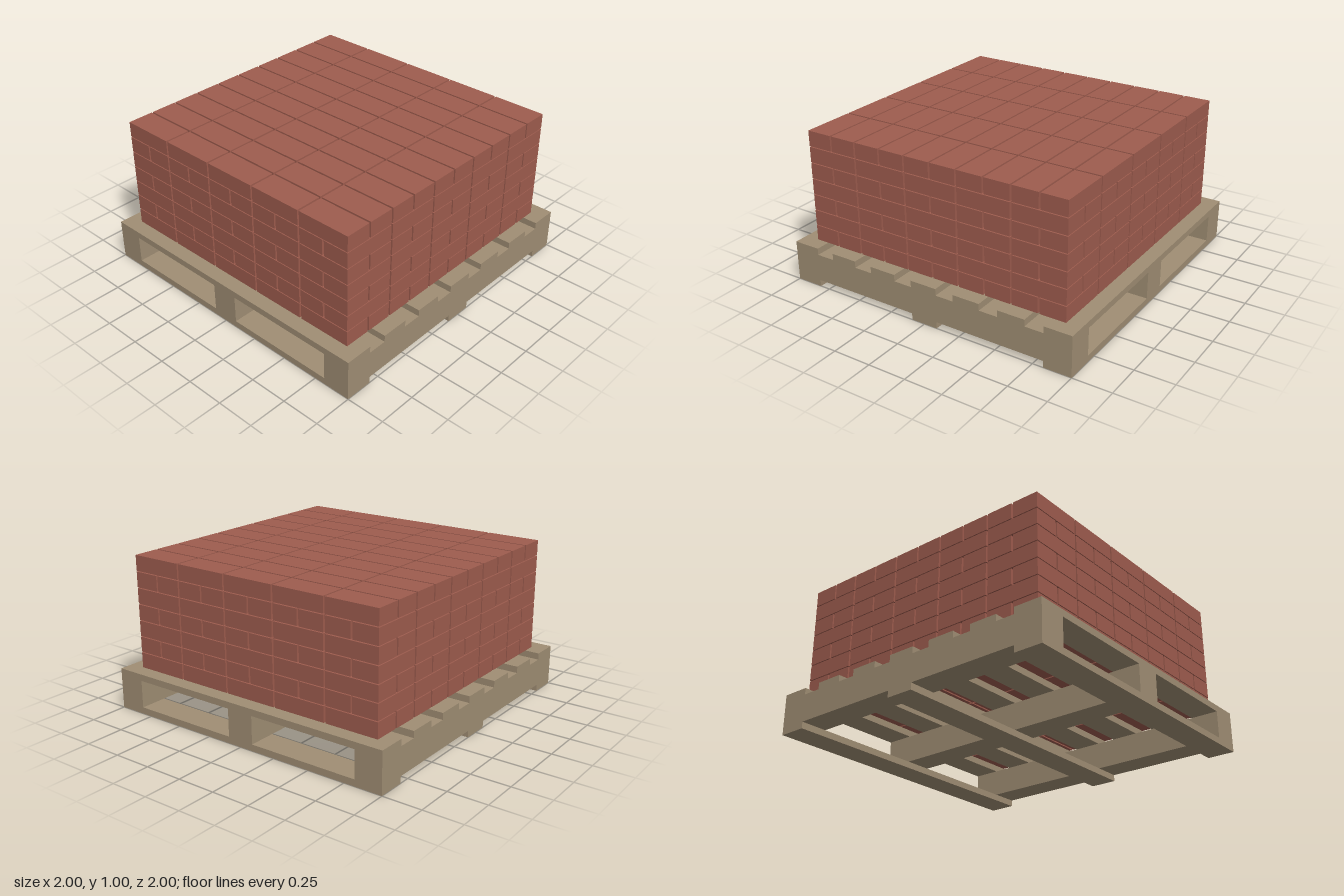
import * as THREE from 'three';

export function createModel() {
  const model = new THREE.Group();
  model.name = 'brickPallet';

  const wood = new THREE.MeshStandardMaterial({ color: 0xa08e74 });
  wood.name = 'pallet wood';
  const clay = new THREE.MeshStandardMaterial({ color: 0x9e5c4e });
  clay.name = 'brick red';

  const addGroup = (name, parent) => {
    const group = new THREE.Group();
    group.name = name;
    parent.add(group);
    return group;
  };
  const addMesh = (name, geometry, material, parent, x, y, z) => {
    const mesh = new THREE.Mesh(geometry, material);
    mesh.name = name;
    mesh.position.set(x, y, z);
    parent.add(mesh);
  };

  // Pallet: skids below, stringers front to back, slats on top
  const boardWidth = 0.18, boardThick = 0.043, deckTop = 0.265;
  const stringerHeight = deckTop - 2 * boardThick;
  const pallet = addGroup('pallet', model);
  const board = new THREE.BoxGeometry(2, boardThick, boardWidth);
  const stringer = new THREE.BoxGeometry(boardWidth, stringerHeight, 2);
  for (const side of [-0.91, 0, 0.91]) {
    addMesh('bottomBoard', board, wood, pallet, 0, boardThick / 2, side);
    addMesh('stringer', stringer, wood, pallet, side, deckTop / 2, 0);
  }
  for (let i = -3; i <= 3; i++) {
    addMesh('topSlat', board, wood, pallet, 0, deckTop - boardThick / 2, i * 0.91 / 3);
  }

  // Bricks: each cell holds a pair, turned by 90 degrees on alternate layers
  const length = 0.352, width = 0.17, height = 0.1;
  const cellPitch = 0.3642, layerPitch = (1 - deckTop - height) / 6;
  const offset = (length - width) / 2;
  const alongX = new THREE.BoxGeometry(length, height, width);
  const alongZ = new THREE.BoxGeometry(width, height, length);
  const stack = addGroup('brickStack', model);
  for (let layer = 0; layer < 7; layer++) {
    const course = addGroup('brickLayer', stack);
    const y = deckTop + height / 2 + layer * layerPitch;
    const turned = layer % 2 === 1;
    for (let i = -2; i <= 2; i++) {
      for (let j = -2; j <= 2; j++) {
        for (const side of [-offset, offset]) {
          const x = i * cellPitch + (turned ? side : 0);
          const z = j * cellPitch + (turned ? 0 : side);
          addMesh('brick', turned ? alongZ : alongX, clay, course, x, y, z);
        }
      }
    }
  }

  return model;
}
